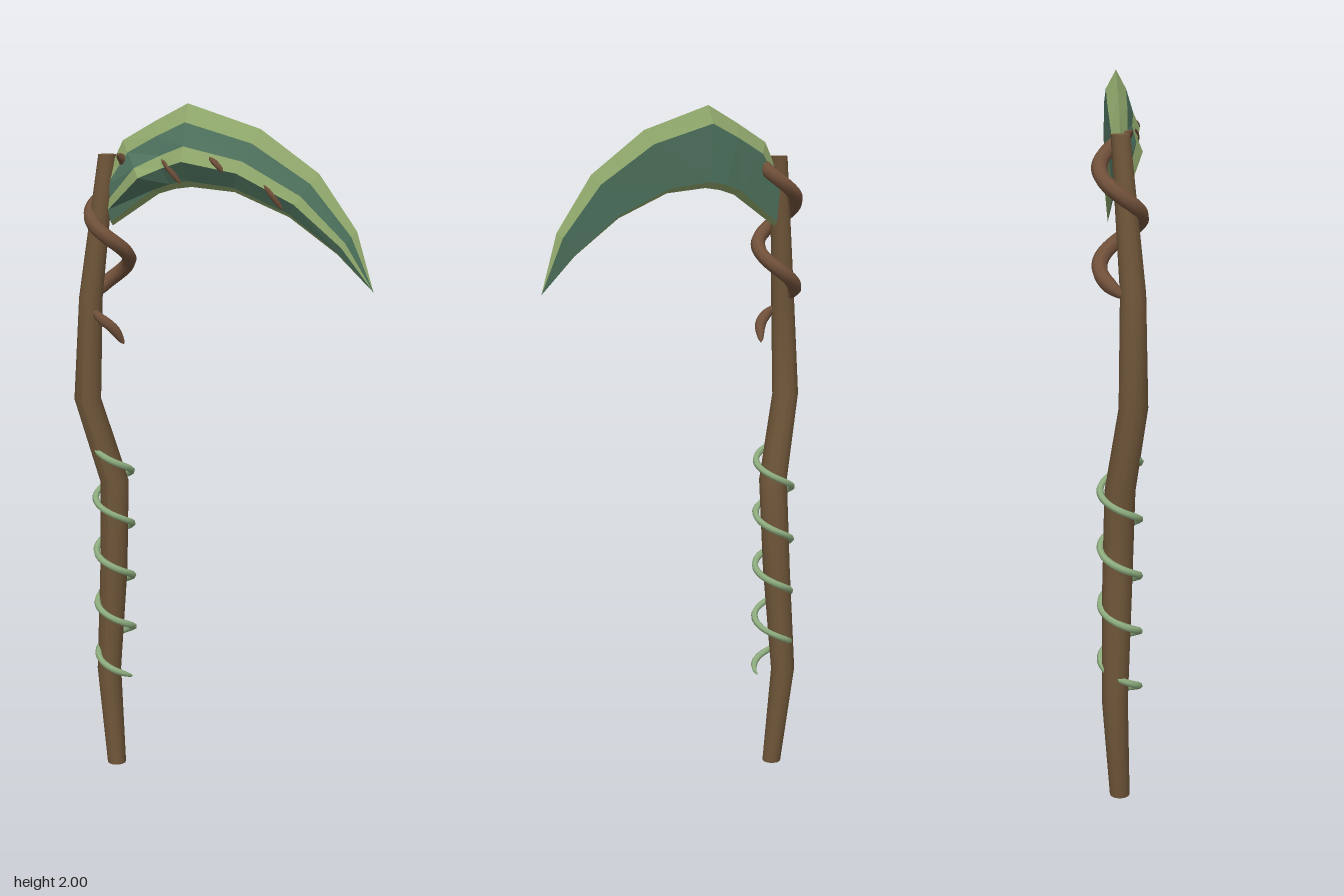
import * as THREE from 'three';

const mat = (name, color) => Object.assign(new THREE.MeshStandardMaterial({ color }), { name });

// Tapered tube through points, closed to a point at both ends
function taperedTube(points, radius, segments, sides, taper) {
  const curve = new THREE.CatmullRomCurve3(points);
  const geo = new THREE.TubeGeometry(curve, segments, radius, sides);
  const pos = geo.attributes.position, v = new THREE.Vector3();
  for (let i = 0; i <= segments; i++) {
    const u = i / segments, c = curve.getPointAt(u);
    const s = Math.min(1, Math.sqrt(Math.min(u, 1 - u) / taper));
    for (let j = 0; j <= sides; j++) {
      const k = i * (sides + 1) + j;
      v.fromBufferAttribute(pos, k).sub(c).multiplyScalar(s).add(c);
      pos.setXYZ(k, v.x, v.y, v.z);
    }
  }
  return geo;
}

// Points of a helix; it crosses the front at height frontY
function helix(y0, y1, frontY, pitch, cx, cz, r, count) {
  return Array.from({ length: count + 1 }, (_, i) => {
    const y = y0 + (y1 - y0) * i / count, a = 2 * Math.PI * (y - frontY) / pitch;
    return new THREE.Vector3(cx - r * Math.sin(a), y, cz + r * Math.cos(a));
  });
}

// Crooked handle: cylinder rings moved to stations [x, y, z, radius]
function handleGeometry() {
  const st = [
    [-0.35, 0, 0, 0.028], [-0.378, 0.3, -0.015, 0.036], [-0.354, 0.62, -0.008, 0.041],
    [-0.343, 0.9, 0, 0.042], [-0.41, 1.15, 0.032, 0.039], [-0.394, 1.45, 0.031, 0.034],
    [-0.35, 1.855, 0, 0.025],
  ];
  const n = st.length - 1, geo = new THREE.CylinderGeometry(1, 1, 1, 12, n);
  const p = geo.attributes.position;
  for (let i = 0; i < p.count; i++) {
    const [x, y, z, r] = st[Math.round((p.getY(i) + 0.5) * n)];
    p.setXYZ(i, x + p.getX(i) * r, y, z + p.getZ(i) * r);
  }
  geo.computeVertexNormals();
  return geo;
}

// Blade stations: outer edge x, y, inner edge x, y, half thickness, front ridge depth
const BLADE = [
  [-0.35, 1.8, -0.335, 1.655, 0.013, 0.02],
  [-0.3, 1.895, -0.19, 1.75, 0.022, 0.065],
  [-0.2, 1.95, -0.14, 1.765, 0.026, 0.055],
  [-0.1, 2.0, -0.09, 1.772, 0.027, 0.065],
  [0.115, 1.935, 0.04, 1.762, 0.024, 0.053],
  [0.285, 1.82, 0.2, 1.7, 0.019, 0.041],
  [0.395, 1.67, 0.34, 1.605, 0.012, 0.022],
  [0.445, 1.507, 0.445, 1.507, 0, 0],
];

// Cross-section from outer edge down the front and up the back
function section([ox, oy, ix, iy, w, d]) {
  return [[0, 0], [0.22, w], [0.5, d * 0.72], [0.68, d], [0.92, w], [1, 0], [0.92, -w], [0.22, -w]]
    .map(([t, z]) => [ox + (ix - ox) * t, oy + (iy - oy) * t, z]);
}

// Strips of the blade between neighbouring section corners
function bladeGeometry(strips) {
  const rings = BLADE.map(section), out = [];
  for (let i = 0; i < rings.length - 1; i++) {
    for (const j of strips) {
      const k = (j + 1) % 8;
      const a = rings[i][j], b = rings[i][k], c = rings[i + 1][k], e = rings[i + 1][j];
      out.push(...a, ...b, ...c, ...a, ...c, ...e);
    }
  }
  const geo = new THREE.BufferGeometry();
  geo.setAttribute('position', new THREE.Float32BufferAttribute(out, 3));
  geo.computeVertexNormals();
  return geo;
}

export function createModel() {
  const group = new THREE.Group();
  const bark = mat('bark', 0x6f5639);
  const root = mat('root', 0x70503a);
  const leaf = mat('leafEdge', 0x90a86c);
  const dark = mat('leafFace', 0x507560);
  const vineMat = mat('vine', 0x8fae80);
  leaf.flatShading = dark.flatShading = true;

  const add = (name, geo, material) => {
    const m = new THREE.Mesh(geo, material);
    m.name = name;
    group.add(m);
  };
  const V = (x, y, z) => new THREE.Vector3(x, y, z);

  add('handle', handleGeometry(), bark);

  // Blade: light bevels and ridge, dark faces
  add('bladeEdges', bladeGeometry([0, 2, 4, 5, 7]), leaf);
  add('bladeFaces', bladeGeometry([1, 3, 6]), dark);

  // Root that binds the blade to the handle, and a twig below it
  add('bindingRoot', taperedTube(helix(1.44, 1.86, 1.64, 0.255, -0.345, 0, 0.054, 28), 0.021, 72, 8, 0.08), root);
  add('twig', taperedTube([V(-0.39, 1.42, 0.04), V(-0.355, 1.395, 0.052), V(-0.32, 1.365, 0.04), V(-0.3, 1.315, 0.01)],
    0.016, 14, 8, 0.35), root);

  // Thin vine around the grip
  add('vine', taperedTube(helix(0.29, 1.015, 0.82, 0.163, -0.346, 0, 0.054, 56), 0.01, 140, 6, 0.03), vineMat);

  // Small root fibres on the front of the blade
  const fibres = [
    [-0.16, 1.85, 0.05, -0.105, 1.782, 0.04],
    [-0.015, 1.86, 0.053, 0.03, 1.82, 0.058],
    [0.14, 1.79, 0.043, 0.19, 1.722, 0.026],
  ];
  for (const [x0, y0, z0, x1, y1, z1] of fibres) {
    add('rootFibre', taperedTube([V(x0, y0, z0), V((x0 + x1) / 2 + 0.005, (y0 + y1) / 2, (z0 + z1) / 2 + 0.008),
      V(x1, y1, z1)], 0.008, 8, 6, 0.3), root);
  }
  return group;
}
